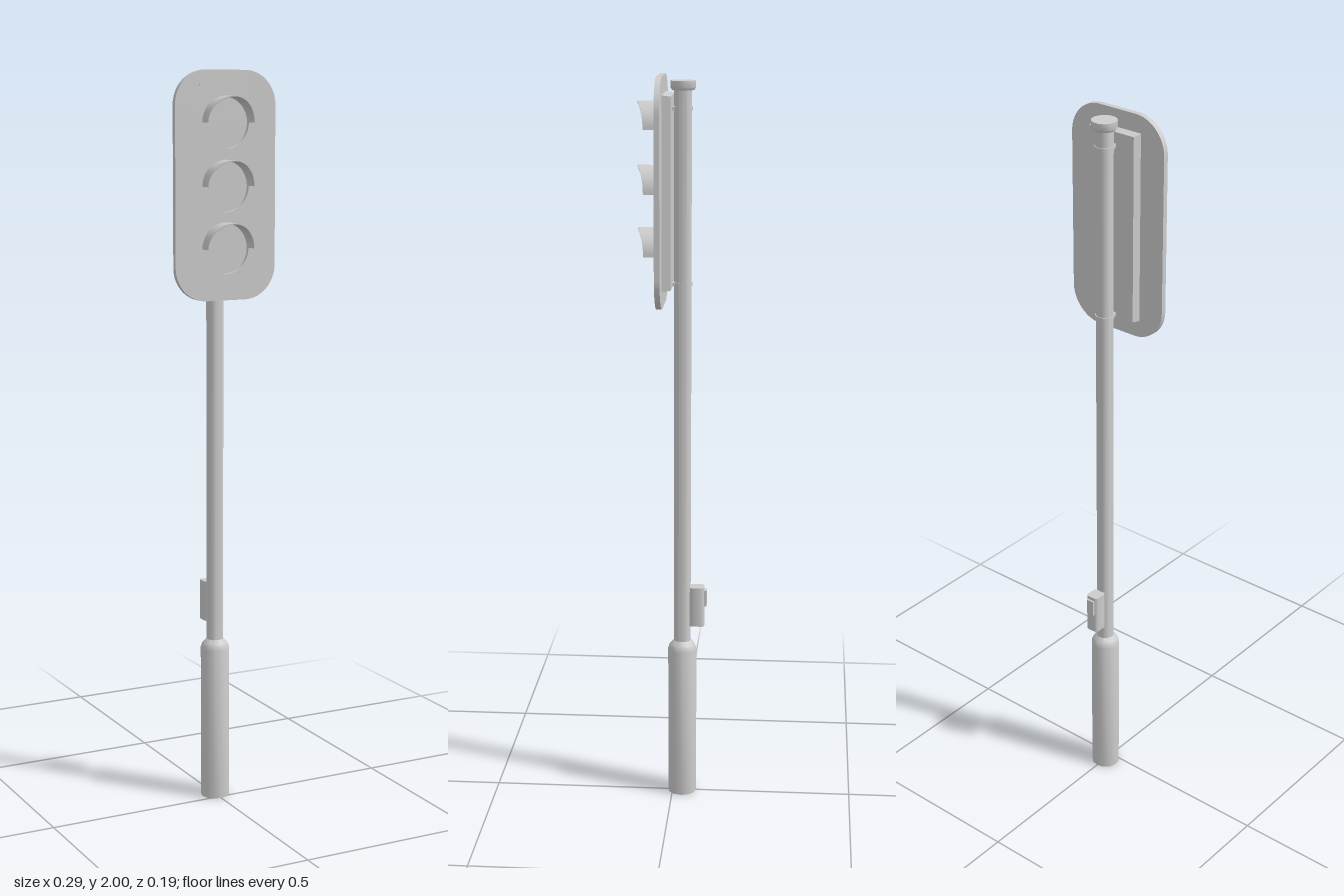
import * as THREE from 'three';
import { toCreasedNormals } from 'three/addons/utils/BufferGeometryUtils.js';

const POLE_Z = -0.027;
const LAMP_R = 0.069;
const LAMP_Y = [1.865, 1.7, 1.537];
const grey = new THREE.MeshStandardMaterial({ color: 0xcccccc });
const greyOpen = new THREE.MeshStandardMaterial({ color: 0xcccccc, side: THREE.DoubleSide });

function add(parent, name, geometry, x = 0, y = 0, z = 0, material = grey) {
  const mesh = new THREE.Mesh(toCreasedNormals(geometry, 0.6), material);
  mesh.name = name;
  mesh.position.set(x, y, z);
  parent.add(mesh);
  return mesh;
}

// Rounded rectangle centred on the origin
function roundedRect(w, h, r) {
  const s = new THREE.Shape();
  const x = w / 2, y = h / 2;
  s.moveTo(-x + r, -y);
  s.lineTo(x - r, -y);
  s.absarc(x - r, -y + r, r, -Math.PI / 2, 0);
  s.absarc(x - r, y - r, r, 0, Math.PI / 2);
  s.absarc(-x + r, y - r, r, Math.PI / 2, Math.PI);
  s.absarc(-x + r, -y + r, r, Math.PI, Math.PI * 1.5);
  return s;
}

function lathe(points, sides) {
  return new THREE.LatheGeometry(points.map(([r, y]) => new THREE.Vector2(r, y)), sides);
}

// Half-round hood: thin shell whose front edge reaches furthest at the crown
function hoodGeometry() {
  const steps = 20, wall = 0.0025, back = 0.03;
  const pos = [], index = [];
  for (let i = 0; i <= steps; i++) {
    const a = (i / steps) * Math.PI;
    const c = Math.cos(a), s = Math.sin(a);
    const front = 0.072 + 0.02 * (1 - Math.abs(c) ** 1.3);
    const ri = LAMP_R - wall;
    pos.push(LAMP_R * c, LAMP_R * s, back, LAMP_R * c, LAMP_R * s, front);
    pos.push(ri * c, ri * s, front, ri * c, ri * s, back);
  }
  for (let i = 0; i < steps; i++) {
    for (let k = 0; k < 4; k++) {
      const a = i * 4 + k, b = i * 4 + (k + 1) % 4;
      index.push(a, b + 4, b, a, a + 4, b + 4);
    }
  }
  // end caps
  const e = steps * 4;
  index.push(0, 1, 2, 0, 2, 3, e, e + 2, e + 1, e, e + 3, e + 2);
  const g = new THREE.BufferGeometry();
  g.setAttribute('position', new THREE.Float32BufferAttribute(pos, 3));
  g.setIndex(index);
  g.computeVertexNormals();
  return g;
}

export function createModel() {
  const model = new THREE.Group();
  model.name = 'trafficLight';

  // Post with thick open-bottomed base, clamp bands and top cap
  const post = new THREE.Group();
  post.name = 'post';
  post.position.z = POLE_Z;
  model.add(post);
  add(post, 'base', lathe([[0.0395, 0], [0.0395, 0.43], [0.035, 0.443], [0.023, 0.455]], 12), 0, 0, 0, greyOpen);
  add(post, 'pole', new THREE.CylinderGeometry(0.023, 0.023, 1.52, 16), 0, 1.21, 0);
  add(post, 'cap', lathe([[0, 1.962], [0.029, 1.962], [0.033, 1.968], [0.033, 1.986], [0, 1.986]], 20));
  for (const y of [1.457, 1.915]) {
    add(post, 'clampBand', new THREE.CylinderGeometry(0.025, 0.025, 0.01, 16), 0, y, 0);
    add(post, 'clampBracket', new THREE.BoxGeometry(0.03, 0.01, 0.016), 0, y, 0.023);
  }

  // Signal head: backing plate with lamp openings
  const head = new THREE.Group();
  head.name = 'signalHead';
  model.add(head);
  const plate = roundedRect(0.294, 0.6, 0.09);
  for (const y of LAMP_Y) {
    const hole = new THREE.Path();
    hole.absarc(0, y - 1.7, LAMP_R - 0.001, 0, Math.PI * 2, true);
    plate.holes.push(hole);
  }
  add(head, 'backingPlate',
    new THREE.ExtrudeGeometry(plate, { depth: 0.0145, bevelEnabled: false, curveSegments: 16 }), 0, 1.7, 0.023);

  // Housing behind the plate, narrowing slightly towards the post
  const housing = new THREE.BoxGeometry(0.149, 0.507, 0.024);
  const p = housing.attributes.position;
  for (let i = 0; i < p.count; i++) {
    if (p.getZ(i) < 0) p.setXY(i, p.getX(i) * 0.945, p.getY(i) * 0.985);
  }
  add(head, 'housing', housing, 0, 1.7, 0.012);
  add(head, 'topStrip', new THREE.BoxGeometry(0.154, 0.006, 0.008), 0, 1.961, 0.037);

  // Three recessed lamps, each with a hood
  const hood = hoodGeometry();
  for (const y of LAMP_Y) {
    const lens = add(head, 'lens', new THREE.CylinderGeometry(LAMP_R, LAMP_R, 0.004, 32), 0, y, 0.025);
    lens.rotation.x = Math.PI / 2;
    add(head, 'hood', hood, 0, y, 0);
  }

  // Push-button box on the back of the post
  const box = new THREE.Group();
  box.name = 'buttonBox';
  model.add(box);
  const plan = roundedRect(0.037, 0.04, 0.008);
  const body = new THREE.ExtrudeGeometry(plan, { depth: 0.112, bevelEnabled: false, curveSegments: 4 });
  body.rotateX(-Math.PI / 2);
  add(box, 'boxBody', body, 0, 0.5, -0.068);
  add(box, 'button', new THREE.BoxGeometry(0.023, 0.045, 0.012), 0, 0.58, -0.088);

  return model;
}
